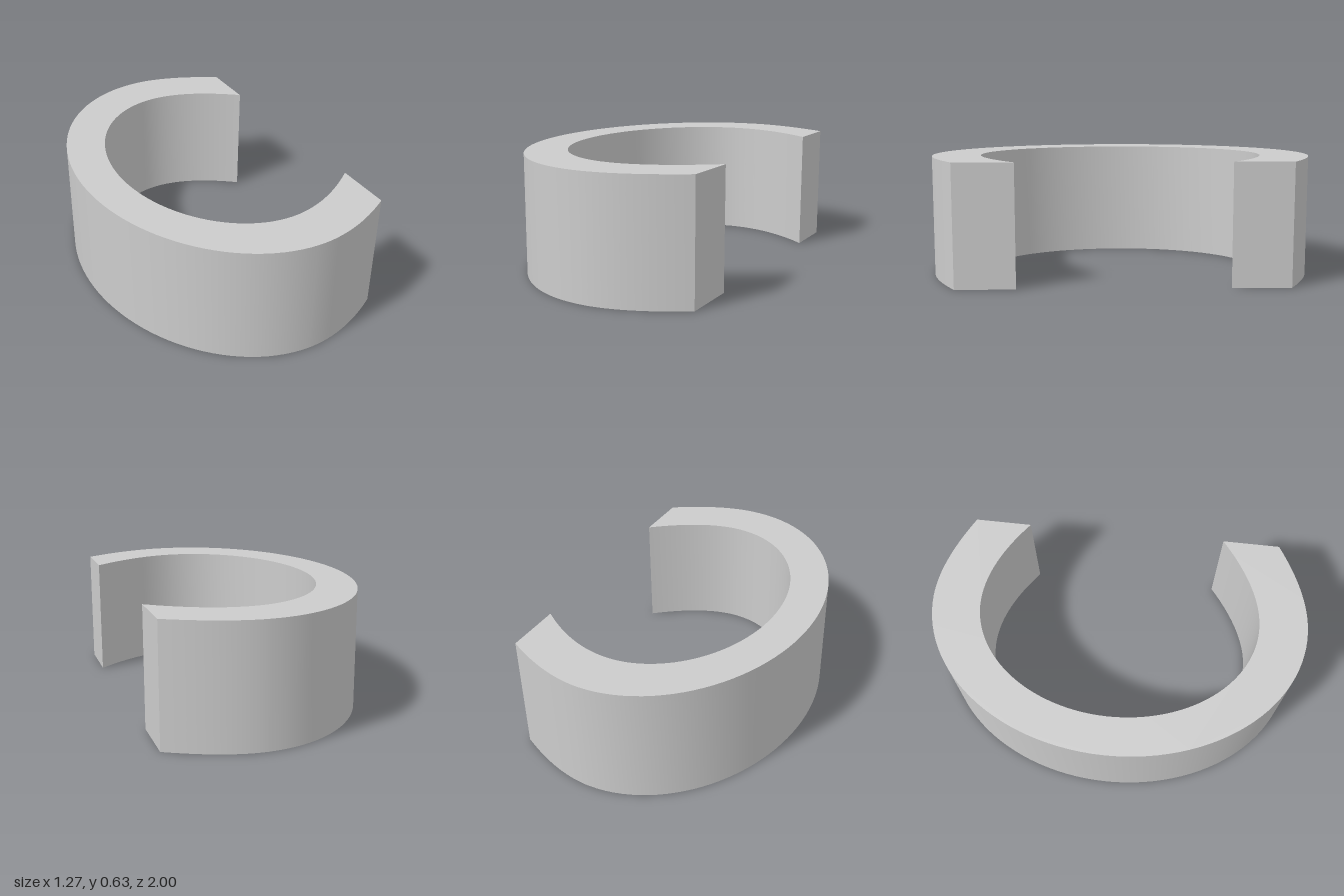
import * as THREE from 'three';
import { toCreasedNormals } from 'three/addons/utils/BufferGeometryUtils.js';

const HEIGHT = 0.627;
const CENTRE_X = 0.14;

// Plan of the open oval band; shape y points to the back
function bandOutline() {
  const s = new THREE.Shape();
  // outer wall: back arm, half oval, front arm
  s.moveTo(0.615, 0.845);
  s.quadraticCurveTo(0.34, 1, CENTRE_X, 1);
  s.absellipse(CENTRE_X, 0, 0.773, 1, Math.PI / 2, Math.PI * 1.5, false);
  s.quadraticCurveTo(0.36, -1, 0.632, -0.825);
  // front end face
  s.lineTo(0.632, -0.52);
  // inner wall back to the start
  s.quadraticCurveTo(0.36, -0.744, CENTRE_X, -0.744);
  s.absellipse(CENTRE_X, 0, 0.57, 0.744, Math.PI * 1.5, Math.PI / 2, true);
  s.quadraticCurveTo(0.36, 0.744, 0.615, 0.545);
  s.closePath();
  return s;
}

export function createModel() {
  const group = new THREE.Group();
  group.name = 'openCuff';

  // Upright band, smooth walls with sharp rims and ends
  const extruded = new THREE.ExtrudeGeometry(bandOutline(), {
    depth: HEIGHT,
    bevelEnabled: false,
    curveSegments: 28,
  });
  extruded.rotateX(-Math.PI / 2);
  const band = new THREE.Mesh(
    toCreasedNormals(extruded, 0.5),
    new THREE.MeshStandardMaterial({ color: 0xcccccc })
  );
  band.name = 'cuffBand';
  group.add(band);
  return group;
}
